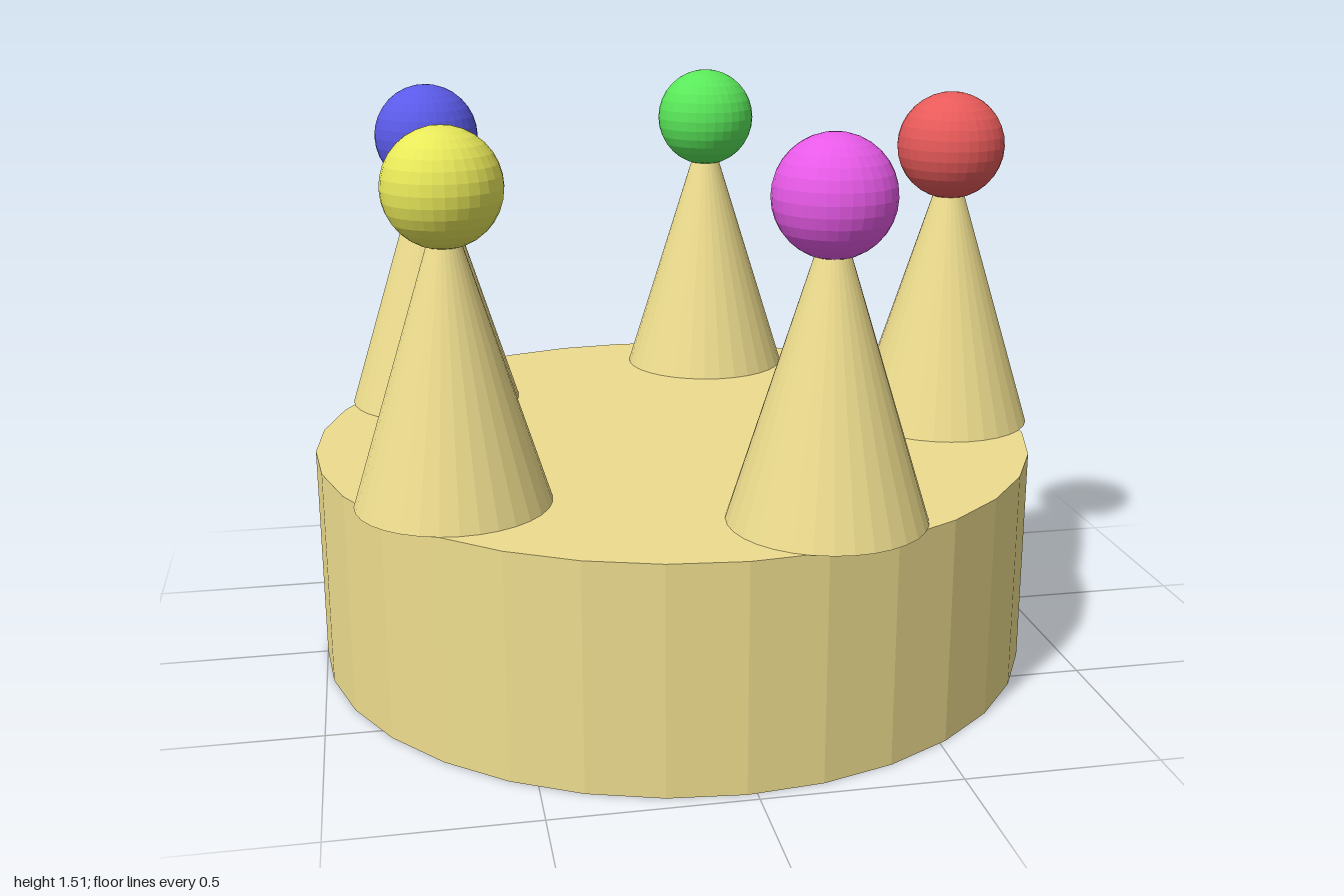
import * as THREE from 'three';

export function createModel() {
  const model = new THREE.Group();
  const unit = 0.2439;
  const centreX = -0.1 * unit;
  const bandHeight = 2.4 * unit;
  const spikeHeight = 3.2 * unit;
  const ringRadius = 3.2 * unit;

  const material = (color) => new THREE.MeshStandardMaterial({ color, flatShading: true });
  const gold = material(0xeedd8e);

  const add = (parent, name, geometry, mat, y) => {
    const mesh = new THREE.Mesh(geometry, mat);
    mesh.name = name;
    mesh.position.y = y;
    parent.add(mesh);
  };

  const crown = new THREE.Group();
  crown.name = 'crown';
  crown.position.x = centreX;
  model.add(crown);

  // Solid round band
  add(crown, 'band', new THREE.CylinderGeometry(4 * unit, 4 * unit, bandHeight, 32), gold, bandHeight / 2);

  // Five cone points, each tipped with a coloured ball
  const spikeGeometry = new THREE.ConeGeometry(unit, spikeHeight, 32);
  const jewelGeometry = new THREE.SphereGeometry(0.6 * unit, 32, 16);
  const jewels = [
    ['red', 0xe85a5a], ['magenta', 0xe85ae8], ['yellow', 0xe8e85a],
    ['blue', 0x5a5ae8], ['green', 0x5ae85a],
  ];
  jewels.forEach(([name, color], i) => {
    const angle = (i / jewels.length) * Math.PI * 2;
    const point = new THREE.Group();
    point.name = `${name}Point`;
    point.position.set(Math.cos(angle) * ringRadius, bandHeight, Math.sin(angle) * ringRadius);
    add(point, 'spike', spikeGeometry, gold, spikeHeight / 2);
    add(point, `${name}Jewel`, jewelGeometry, material(color), spikeHeight);
    crown.add(point);
  });

  return model;
}
